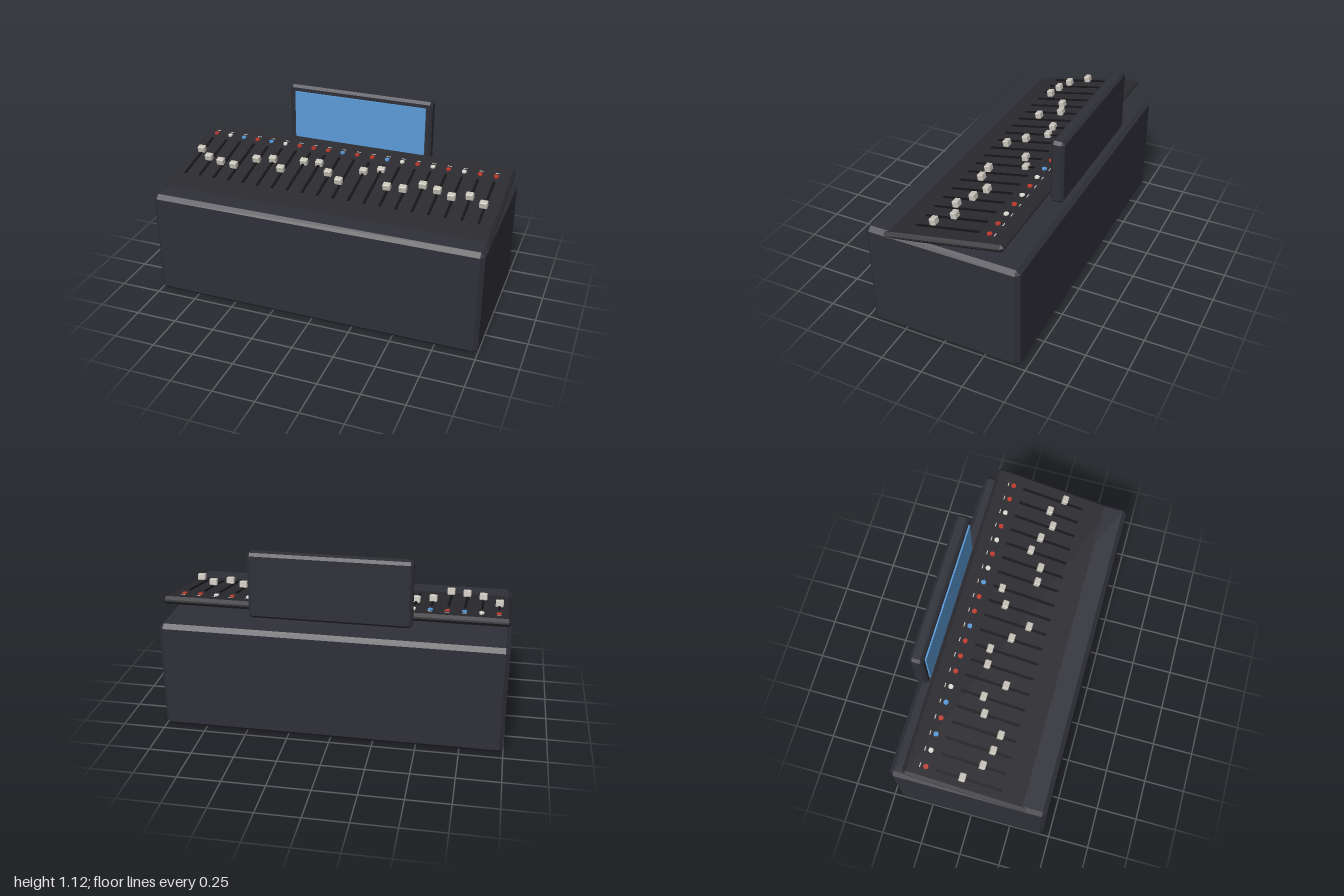
import * as THREE from 'three';
import { ConvexGeometry } from 'three/addons/geometries/ConvexGeometry.js';

const material = (name, color) => {
  const m = new THREE.MeshStandardMaterial({ color });
  m.name = name;
  return m;
};

// Box with every edge cut at 45 degrees by c
function chamferBox(w, h, d, c) {
  const points = [];
  for (const sx of [-1, 1]) for (const sy of [-1, 1]) for (const sz of [-1, 1]) {
    const [x, y, z] = [w / 2, h / 2, d / 2];
    points.push(
      new THREE.Vector3(sx * x, sy * (y - c), sz * (z - c)),
      new THREE.Vector3(sx * (x - c), sy * y, sz * (z - c)),
      new THREE.Vector3(sx * (x - c), sy * (y - c), sz * z));
  }
  return new ConvexGeometry(points);
}

export function createModel() {
  const mats = {
    body: material('charcoal body', 0x2f2f38),
    panel: material('dark panel', 0x2a2a2f),
    slot: material('black slot', 0x151518),
    cap: material('warm grey cap', 0xc8c4ba),
    screen: material('screen blue', 0x5c9bd8),
    red: material('lamp red', 0xc0392b),
    white: material('lamp white', 0xe0ddd5),
    blue: material('lamp blue', 0x5498d8),
  };
  const group = new THREE.Group();
  group.name = 'mixingConsole';
  const add = (name, geometry, mat, x, y, z, tilt = 0) => {
    const mesh = new THREE.Mesh(geometry, mat);
    mesh.name = name;
    mesh.position.set(x, y, z);
    mesh.rotation.x = tilt;
    group.add(mesh);
    return mesh;
  };
  const tilt = 0.2;

  // Cabinet and sloping control surface
  add('cabinet', chamferBox(2, 0.655, 0.924, 0.025), mats.body, 0, 0.3275, 0);
  add('controlPanel', chamferBox(1.996, 0.046, 0.76, 0.018), mats.panel, 0, 0.6965, 0, tilt);

  // Monitor standing at the back
  add('monitor', chamferBox(0.92, 0.384, 0.077, 0.016), mats.body, 0, 0.929, -0.4235);
  add('screen', new THREE.BoxGeometry(0.846, 0.31, 0.009), mats.screen, 0, 0.928, -0.3805);

  // Channel strips: fader slot, fader cap, lamp and marker
  const slotGeo = new THREE.BoxGeometry(0.014, 0.006, 0.385);
  const capGeo = chamferBox(0.046, 0.04, 0.036, 0.004);
  const lampGeo = new THREE.CylinderGeometry(0.015, 0.015, 0.02, 8);
  const markerGeo = new THREE.BoxGeometry(0.026, 0.006, 0.006);
  const faders = [-0.04, 0.05, 0.083, 0.1, -0.024, -0.056, 0.05, -0.088, -0.1, 0.003,
    0.083, -0.088, -0.136, 0.056, 0.05, -0.035, 0, 0.05, 0.008, 0.08];
  const lamps = 'rwbrbwrrrbrrbwrwrwrr';
  const lampMats = { r: mats.red, w: mats.white, b: mats.blue };
  faders.forEach((z, i) => {
    const x = -0.925 + i * 0.0961;
    add('faderSlot', slotGeo, mats.slot, x, 0.728, 0, tilt);
    add('faderCap', capGeo, mats.cap, x, 0.753, z, tilt);
    add('channelLamp', lampGeo, lampMats[lamps[i]], x, 0.769, -0.25);
    add('channelMarker', markerGeo, mats.cap, x, 0.776, -0.283);
  });
  return group;
}
